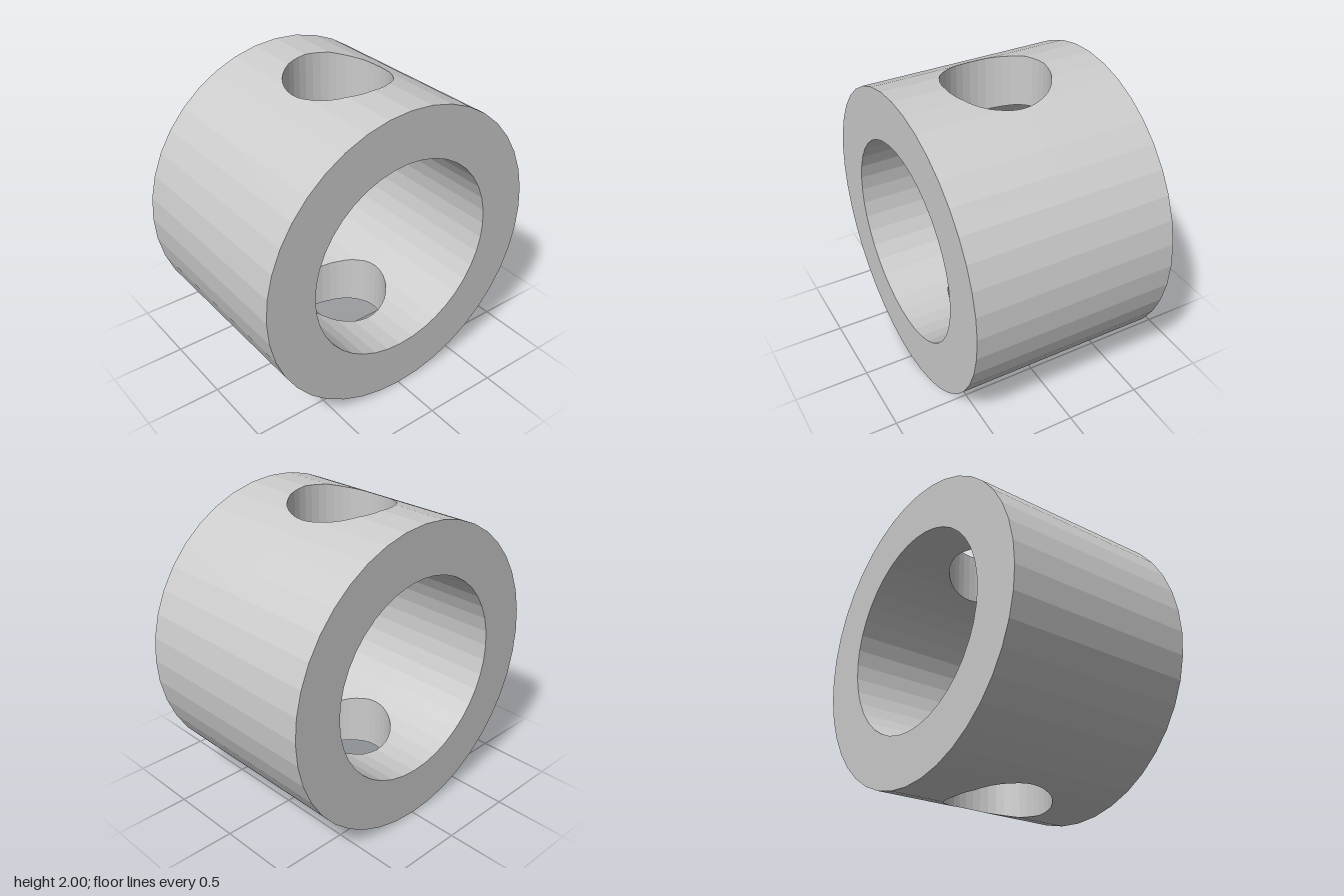
import * as THREE from 'three';

const SIDES = 40, STEP = (Math.PI * 2) / SIDES;
const OUTER = 1, BORE = 2 / 3, HOLE = 1 / 3, HALF = 2 / 3;

// Height of the upper half of a 40-sided polygon of radius r at x (0 outside it)
function polyHeight(x, r) {
  const t = Math.acos(THREE.MathUtils.clamp(x / r, -1, 1));
  const k = Math.min(Math.floor(t / STEP), SIDES / 2 - 1);
  const xa = r * Math.cos(k * STEP), xb = r * Math.cos((k + 1) * STEP);
  const f = THREE.MathUtils.clamp((x - xa) / (xb - xa), 0, 1);
  return r * THREE.MathUtils.lerp(Math.sin(k * STEP), Math.sin((k + 1) * STEP), f);
}

// Every x at which the outside, the bore or the cross hole has a corner
function breakpoints() {
  const all = [];
  for (const r of [OUTER, BORE, HOLE])
    for (let k = 0; k <= SIDES / 2; k++) all.push(r * Math.cos(k * STEP));
  all.sort((a, b) => a - b);
  return all.filter((x, i) => i === 0 || x - all[i - 1] > 1e-5);
}

// Collects quads for one part; each is repeated half a turn round the bore axis
function makePart(name) {
  const pos = [];
  return {
    quad(a, b, c, d, flip = false) {
      const order = flip ? [a, c, b, a, d, c] : [a, b, c, a, c, d];
      for (const s of [1, -1])
        for (const [x, y, z] of order) pos.push(s * x, s * y, z);
    },
    mesh() {
      const geometry = new THREE.BufferGeometry();
      geometry.setAttribute('position', new THREE.Float32BufferAttribute(pos, 3));
      geometry.computeVertexNormals();
      const mesh = new THREE.Mesh(geometry,
        new THREE.MeshStandardMaterial({ color: 0xcccccc, flatShading: true }));
      mesh.name = name;
      mesh.position.y = OUTER;
      return mesh;
    },
  };
}

export function createModel() {
  const outerWall = makePart('outerWall');
  const boreWall = makePart('boreWall');
  const endFaces = makePart('endFaces');
  const crossHole = makePart('crossHoleWalls');

  const xs = breakpoints();
  for (let i = 0; i < xs.length - 1; i++) {
    const a = xs[i], b = xs[i + 1], mid = (a + b) / 2;
    const oa = polyHeight(a, OUTER), ob = polyHeight(b, OUTER);
    const ia = polyHeight(a, BORE), ib = polyHeight(b, BORE);
    const ha = polyHeight(a, HOLE), hb = polyHeight(b, HOLE);
    const inBore = Math.abs(mid) < BORE, inHole = Math.abs(mid) < HOLE;

    for (const s of [1, -1]) {
      const back = s < 0;
      // Curved walls, from the edge of the cross hole to the end of the collar
      outerWall.quad([a, oa, s * HALF], [b, ob, s * HALF], [b, ob, s * hb], [a, oa, s * ha], back);
      if (inBore)
        boreWall.quad([a, ia, s * HALF], [b, ib, s * HALF], [b, ib, s * hb], [a, ia, s * ha], !back);
      // Flat ring at each end
      endFaces.quad([a, ia, s * HALF], [b, ib, s * HALF], [b, ob, s * HALF], [a, oa, s * HALF], back);
      // Sides of the cross hole, between bore and outside
      if (inHole)
        crossHole.quad([a, ia, s * ha], [b, ib, s * hb], [b, ob, s * hb], [a, oa, s * ha], !back);
    }
  }

  const group = new THREE.Group();
  group.name = 'drilledCollar';
  group.add(outerWall.mesh(), boreWall.mesh(), endFaces.mesh(), crossHole.mesh());
  return group;
}
